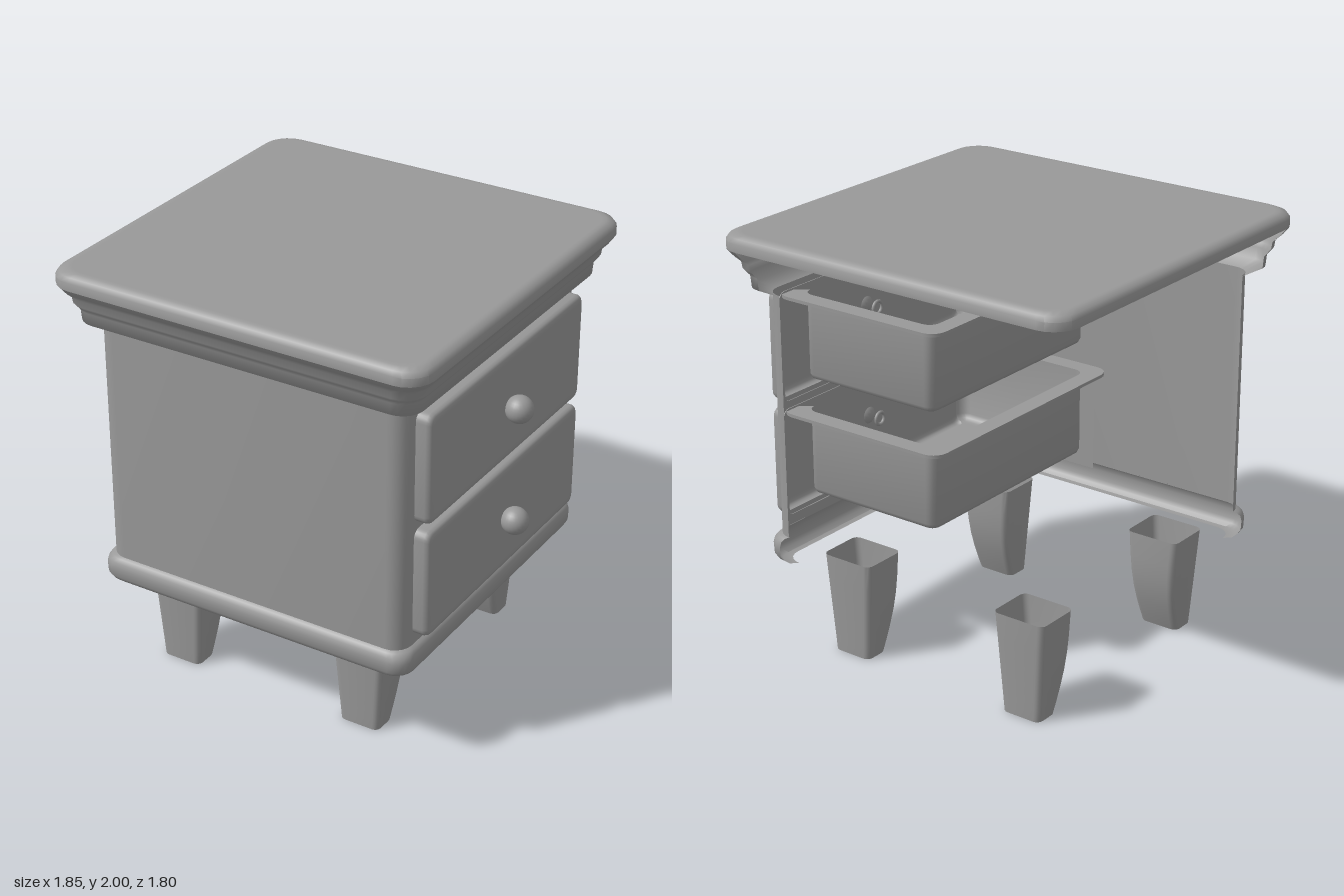
import * as THREE from 'three';
import { toCreasedNormals } from 'three/addons/utils/BufferGeometryUtils.js';

const material = new THREE.MeshStandardMaterial({ color: 0x999999, side: THREE.DoubleSide });
const ALL = [0, 1, 2, 3];

// Outline of a rounded rectangle; corners 0..3 are (-x+z), (+x+z), (+x-z), (-x-z)
function ring([x0, x1, z0, z1], y, r, corners, segments = 5) {
  const points = [];
  for (const c of corners) {
    const cx = c === 1 || c === 2 ? x1 - r : x0 + r;
    const cz = c < 2 ? z1 - r : z0 + r;
    for (let i = 0; i <= segments; i++) {
      const a = Math.PI - (c + i / segments) * Math.PI / 2;
      points.push([cx + r * Math.cos(a), y, cz + r * Math.sin(a)]);
    }
  }
  return points;
}

// Skin through a stack of outlines
function loft(loops, { closed = true, capTop = false, capBottom = false, crease = 0.7 } = {}) {
  const n = loops[0].length, index = [];
  for (let j = 0; j < loops.length - 1; j++) {
    for (let i = 0; i < (closed ? n : n - 1); i++) {
      const a = j * n + i, b = j * n + (i + 1) % n;
      index.push(a, b, b + n, a, b + n, a + n);
    }
  }
  const last = (loops.length - 1) * n;
  for (let i = 1; i < n - 1; i++) {
    if (capTop) index.push(last, last + i, last + i + 1);
    if (capBottom) index.push(0, i + 1, i);
  }
  const geometry = new THREE.BufferGeometry();
  geometry.setAttribute('position', new THREE.Float32BufferAttribute(loops.flat(2), 3));
  geometry.setIndex(index);
  return toCreasedNormals(geometry, crease);
}

const inset = ([x0, x1, z0, z1], d) => [x0 + d, x1 - d, z0 + d, z1 - d];

// Profile of [height, inset] pairs carried around a rounded rectangle
function moulding(rect, profile, radius, corners, options) {
  return loft(profile.map(([y, d]) => ring(inset(rect, d), y, Math.max(0.02, radius(d)), corners)), options);
}

function add(parent, name, geometry) {
  const mesh = new THREE.Mesh(geometry, material);
  mesh.name = name;
  parent.add(mesh);
  return mesh;
}

function createDrawer(y0, y1) {
  const drawer = new THREE.Group();
  drawer.name = 'drawer';
  const mid = (y0 + y1) / 2, half = (y1 - y0) / 2;

  // Hollow front with softened edges
  const front = moulding([-half, half, -0.67, 0.67],
    [[0.74, 0], [0.79, 0], [0.804, 0.005], [0.812, 0.014], [0.815, 0.03], [0.815, 0.045]],
    d => 0.04 - d * 0.5, ALL, { capTop: true });
  front.rotateZ(-Math.PI / 2).translate(0, mid, 0);
  add(drawer, 'drawerFront', front);

  // Tray, open at the top and towards the front, with a wide outward lip
  const bottom = y0 + 0.09, top = y0 + 0.495;
  add(drawer, 'drawerTray', moulding([-0.02, 0.7, -0.56, 0.56],
    [[bottom, 0.05], [bottom, 0.03], [bottom + 0.01, 0.01], [bottom + 0.03, 0], [top, 0], [top, -0.085],
      [top - 0.015, -0.085]],
    d => 0.05 - Math.max(d, -0.02), [2, 3, 0, 1], { closed: false, capBottom: true }));

  // Knob and its fixing behind the front
  add(drawer, 'knob', new THREE.SphereGeometry(0.063, 24, 16)).position.set(0.863, mid, 0);
  const fixing = add(drawer, 'knobFixing', new THREE.TorusGeometry(0.03, 0.008, 6, 16));
  fixing.rotation.y = Math.PI / 2;
  fixing.position.set(0.75, mid, 0);
  return drawer;
}

export function createModel() {
  const model = new THREE.Group();
  model.name = 'nightstand';
  const plan = [-0.927, 0.889, -0.9, 0.9];
  const radius = d => Math.max(0.085, 0.12 - d * 0.3);
  const open = { closed: false };
  const shown = [0, 1, 2];

  // Table top with rounded rim
  add(model, 'tableTop', moulding(plan,
    [[1.93, 0], [1.968, 0], [1.988, 0.012], [2, 0.037], [2, 0.055]], radius, ALL, { capTop: true }));

  // Stepped cornice, softly shaded, and plinth around the finished sides
  add(model, 'cornice', moulding(plan,
    [[1.715, 0.145], [1.75, 0.078], [1.805, 0.074], [1.825, 0.06], [1.84, 0.05], [1.872, 0.046],
      [1.9, 0.02], [1.93, 0]], radius, shown, { closed: false, crease: 1.3 }));
  add(model, 'plinth', moulding(plan,
    [[0.45, 0.175], [0.45, 0.145], [0.465, 0.128], [0.485, 0.117], [0.53, 0.115], [0.555, 0.12],
      [0.572, 0.132], [0.58, 0.147]], radius, shown, open));

  // Side panel, far corner post and drawer face frame
  const wall = [[0.575, 0.145], [1.72, 0.145]];
  add(model, 'sidePanel', moulding(plan, wall, radius, [0, 1], open));
  add(model, 'cornerPost', moulding(plan, wall, radius, [2], open));
  const rect = (Type, w, y0, y1) => new Type([[-w, y0], [w, y0], [w, y1], [-w, y1]]
    .map(([x, y]) => new THREE.Vector2(x, y)));
  const face = rect(THREE.Shape, 0.67, 0.575, 1.72);
  face.holes.push(rect(THREE.Path, 0.65, 0.65, 1.13), rect(THREE.Path, 0.65, 1.2, 1.68));
  add(model, 'faceFrame', new THREE.ShapeGeometry(face).rotateY(Math.PI / 2).translate(0.744, 0, 0));

  // Inner lining beside the drawers
  add(model, 'drawerLining', new THREE.PlaneGeometry(0.754, 1.12).rotateY(Math.PI).translate(0.367, 1.16, 0.655));

  // Drawers
  model.add(createDrawer(0.628, 1.141), createDrawer(1.178, 1.691));

  // Hollow tapered legs, curved on the inner face
  const inner = [[0, 0.47], [0.06, 0.447], [0.13, 0.424], [0.2, 0.406], [0.28, 0.394], [0.36, 0.39], [0.48, 0.39]];
  for (const x of [-0.522, 0.434]) {
    for (const side of [1, -1]) {
      const loops = inner.map(([y, zIn]) => {
        const w = 0.099 + 0.07 * y, zOut = 0.595 + 0.045 * y;
        const z = side > 0 ? [zIn, zOut] : [-zOut - 0.015, -zIn - 0.015];
        return ring([x - w, x + w, ...z], y, 0.03, ALL, 4);
      });
      add(model, 'leg', loft(loops));
    }
  }
  return model;
}
